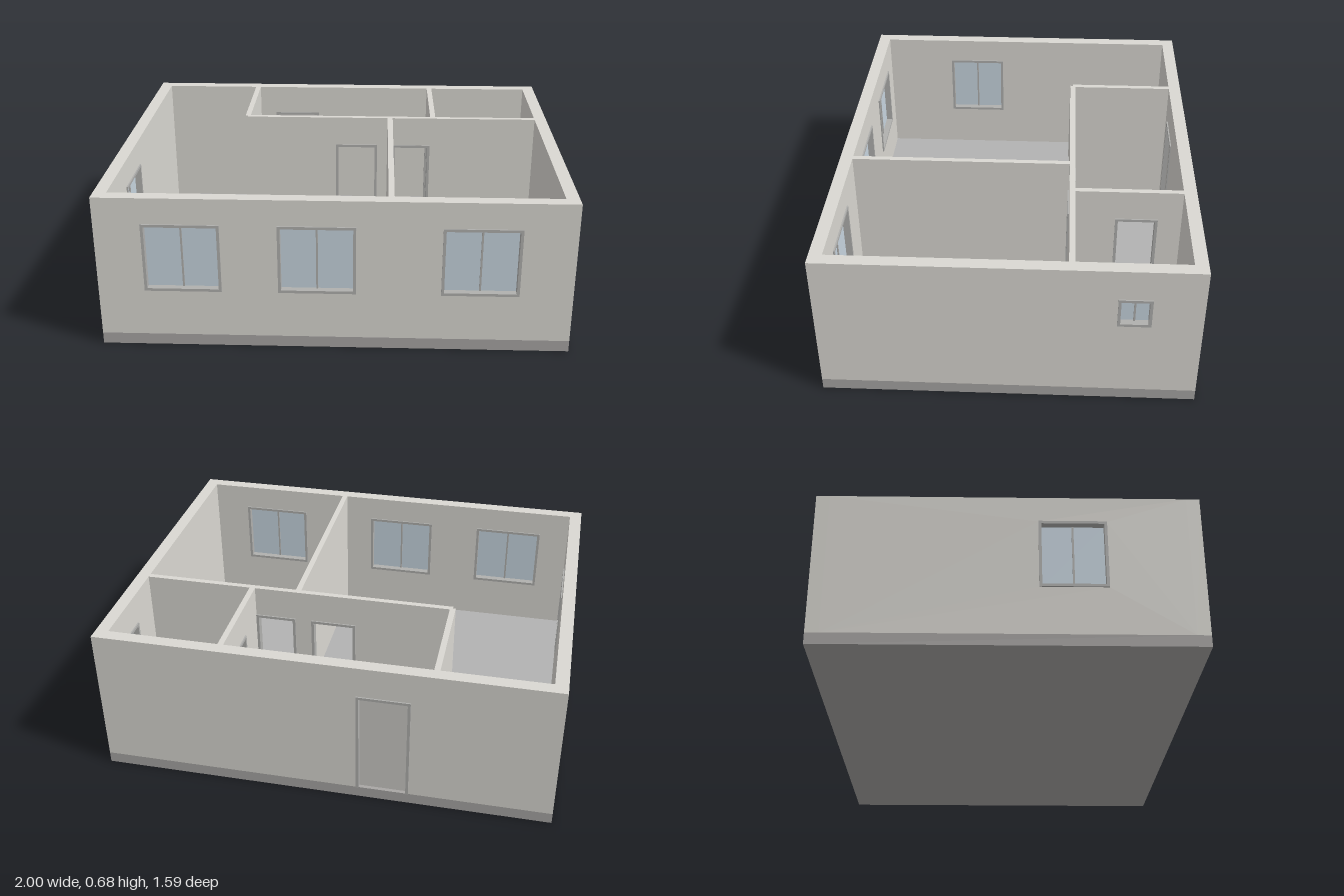
import * as THREE from 'three';

const mat = (color) => new THREE.MeshStandardMaterial({ color });

export function createModel() {
  const house = new THREE.Group();
  house.name = 'floorPlanHouse';

  const wallMat = mat(0xdad8d2), slabMat = mat(0xa8a6a4), floorMat = mat(0xb2b2b2);
  const frameMat = mat(0xb0b0ae), glassMat = mat(0xc8d6e0), doorMat = mat(0xcccac6);

  const X = 0.994, Z = 0.789;          // outer half sizes
  const BASE = 0.05, TOP = 0.68;       // wall bottom and top
  const T = 0.056, T_IN = 0.025;       // outer and inner wall thickness
  const IX = X - T, IZ = Z - T;

  function box(parent, name, material, u0, u1, y0, y1, depth, w = 0) {
    const m = new THREE.Mesh(new THREE.BoxGeometry(u1 - u0, y1 - y0, depth), material);
    m.position.set((u0 + u1) / 2, (y0 + y1) / 2, w);
    m.name = name;
    parent.add(m);
  }

  // Frame bars around an opening; doors have no bottom bar
  function frame(parent, name, o, bar, depth) {
    box(parent, name, frameMat, o.u0, o.u0 + bar, o.y0, o.y1, depth);
    box(parent, name, frameMat, o.u1 - bar, o.u1, o.y0, o.y1, depth);
    box(parent, name, frameMat, o.u0 + bar, o.u1 - bar, o.y1 - bar, o.y1, depth);
    if (o.kind === 'window') box(parent, name, frameMat, o.u0 + bar, o.u1 - bar, o.y0, o.y0 + bar, depth);
  }

  // A wall running along x or z, with its openings cut out and filled
  function wall(name, axis, from, to, at, thick, openings = []) {
    const g = new THREE.Group();
    g.name = name;
    const doors = openings.filter((o) => o.kind !== 'window').sort((a, b) => a.u0 - b.u0);
    const s = new THREE.Shape();
    s.moveTo(from, BASE);
    for (const d of doors) {
      s.lineTo(d.u0, BASE);
      s.lineTo(d.u0, d.y1);
      s.lineTo(d.u1, d.y1);
      s.lineTo(d.u1, BASE);
    }
    s.lineTo(to, BASE);
    s.lineTo(to, TOP);
    s.lineTo(from, TOP);
    s.closePath();
    for (const o of openings.filter((p) => p.kind === 'window')) {
      const h = new THREE.Path();
      h.moveTo(o.u0, o.y0);
      h.lineTo(o.u0, o.y1);
      h.lineTo(o.u1, o.y1);
      h.lineTo(o.u1, o.y0);
      h.closePath();
      s.holes.push(h);
    }
    const geo = new THREE.ExtrudeGeometry(s, { depth: thick, bevelEnabled: false });
    geo.translate(0, 0, -thick / 2);
    const panel = new THREE.Mesh(geo, wallMat);
    panel.name = name + 'Panel';
    g.add(panel);

    for (const o of openings) {
      const bar = 0.012, mid = (o.u0 + o.u1) / 2;
      frame(g, o.kind === 'window' ? 'windowFrame' : 'doorFrame', o, bar, thick + 0.012);
      if (o.kind === 'window') {
        box(g, 'windowGlass', glassMat, o.u0 + bar, o.u1 - bar, o.y0 + bar, o.y1 - bar, 0.008);
        box(g, 'windowMullion', frameMat, mid - 0.004, mid + 0.004, o.y0 + bar, o.y1 - bar, 0.02);
      } else if (o.kind === 'door') {
        box(g, 'doorLeaf', doorMat, o.u0 + bar, o.u1 - bar, BASE, o.y1 - bar, 0.024);
      }
    }

    if (axis === 'z') {
      g.rotation.y = -Math.PI / 2;     // wall length runs along +z
      g.position.x = at;
    } else g.position.z = at;
    house.add(g);
  }

  const windowAt = (u0, u1, y0 = 0.26, y1 = 0.565) => ({ kind: 'window', u0, u1, y0, y1 });
  const doorAt = (u0, u1, kind = 'doorway') => ({ kind, u0, u1, y0: BASE, y1: 0.54 });

  // Foundation and floor
  box(house, 'foundationSlab', slabMat, -X, X, 0, BASE, 2 * Z);
  box(house, 'floor', floorMat, -IX, IX, BASE - 0.01, BASE + 0.002, 2 * IZ);

  // Outer walls
  wall('frontWall', 'x', -X, X, Z - T / 2, T,
    [windowAt(-0.797, -0.472), windowAt(-0.235, 0.09), windowAt(0.445, 0.77)]);
  wall('backWall', 'x', -X, X, -Z + T / 2, T, [doorAt(-0.376, -0.146, 'door')]);
  wall('leftWall', 'z', -IZ, IZ, X - T / 2, T, [windowAt(-0.58, -0.442, 0.403, 0.54)]);
  wall('rightWall', 'z', -IZ, IZ, -X + T / 2, T, [windowAt(-0.0 + 0.122, 0.402)]);

  // Inner partitions
  wall('crossPartition', 'x', -0.47, IX, -0.255, T_IN, [doorAt(-0.035, 0.17), doorAt(0.245, 0.43)]);
  wall('hallPartition', 'z', -IZ, -0.255, -0.47, T_IN);
  wall('backRoomPartition', 'z', -IZ, -0.267, 0.442, T_IN, [doorAt(-0.63, -0.445)]);
  wall('frontRoomPartition', 'z', -0.243, IZ, 0.232, T_IN);

  return house;
}
